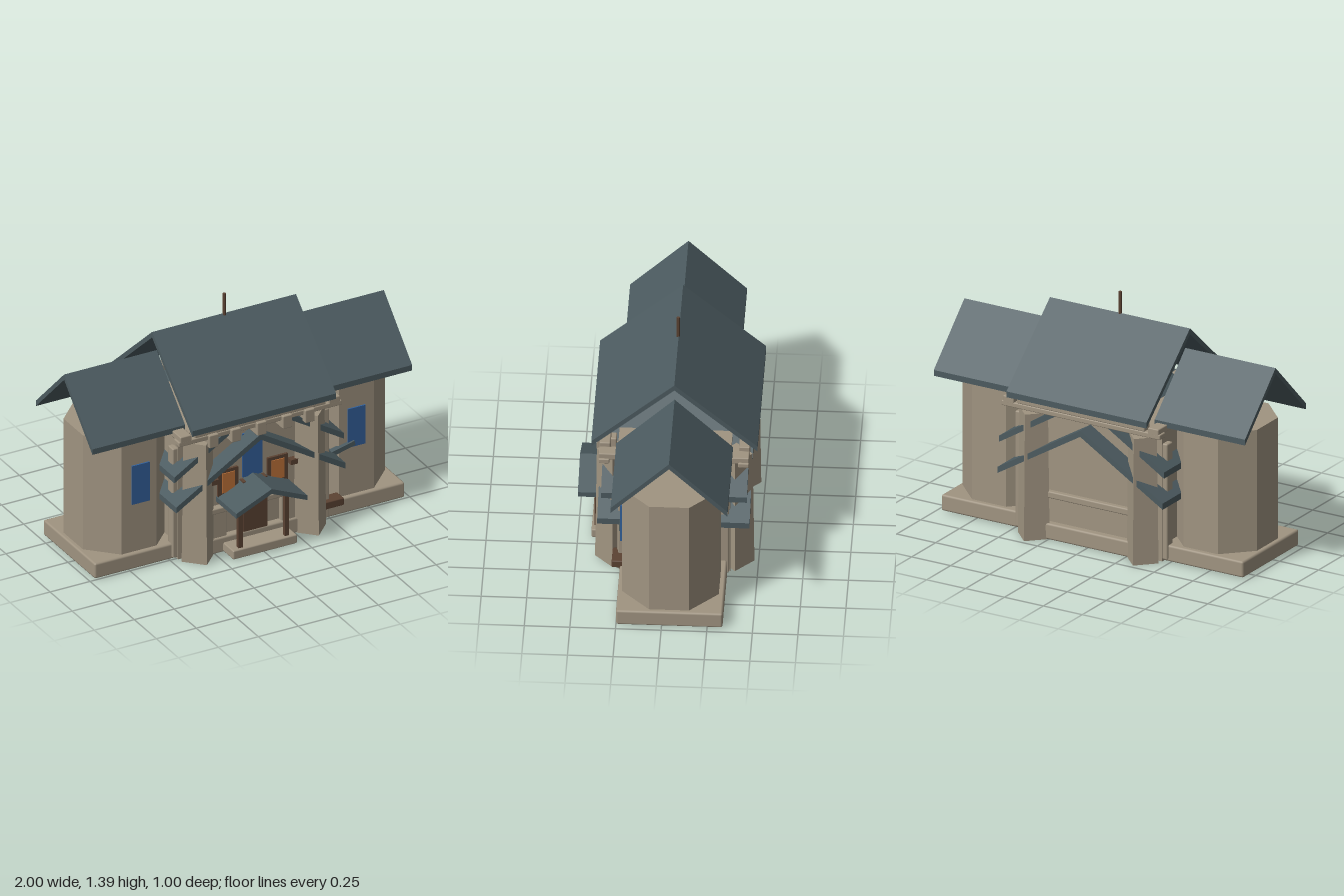
import * as THREE from 'three';
import { RoundedBoxGeometry } from 'three/addons/geometries/RoundedBoxGeometry.js';

const mat = (name, color) => {
  const m = new THREE.MeshStandardMaterial({ color });
  m.name = name;
  return m;
};

export function createModel() {
  const stone = mat('stone', 0xa09481);
  const slate = mat('slate', 0x4c5b60);
  const wood = mat('wood', 0x5c4333);
  const blue = mat('blueGlass', 0x33619c);
  const amber = mat('amberGlass', 0xc0743a);
  const CZ = -0.04; // the building's centre line in z
  const model = new THREE.Group();
  model.name = 'hall';

  const add = (name, geo, material) => {
    const mesh = new THREE.Mesh(geo, material);
    mesh.name = name;
    model.add(mesh);
    return mesh;
  };
  // box given by its limits, with optional softened edges
  const box = (name, material, x0, x1, y0, y1, z0, z1, r = 0) => {
    const w = Math.abs(x1 - x0), h = y1 - y0, d = Math.abs(z1 - z0);
    const geo = r ? new RoundedBoxGeometry(w, h, d, 1, r) : new THREE.BoxGeometry(w, h, d);
    const mesh = add(name, geo, material);
    mesh.position.set((x0 + x1) / 2, (y0 + y1) / 2, (z0 + z1) / 2);
    return mesh;
  };
  // open gable roof: a chevron extruded along z
  const gable = (name, half, ridge, eave, t, length) => {
    const s = new THREE.Shape();
    s.moveTo(-half, eave - t);
    s.lineTo(0, ridge - t);
    s.lineTo(half, eave - t);
    s.lineTo(half, eave);
    s.lineTo(0, ridge);
    s.lineTo(-half, eave);
    const geo = new THREE.ExtrudeGeometry(s, { depth: length, bevelEnabled: false });
    return add(name, geo.translate(0, 0, -length / 2), slate);
  };
  // n-sided upright prism with flat sides
  const prism = (name, material, rTop, rBottom, y0, y1, sides, turn, x, z) => {
    const geo = new THREE.CylinderGeometry(rTop, rBottom, y1 - y0, sides).toNonIndexed();
    geo.rotateY(turn);
    geo.computeVertexNormals();
    const mesh = add(name, geo, material);
    mesh.position.set(x, (y0 + y1) / 2, z);
    return mesh;
  };

  // main and wing roofs, ridges along x
  const mainRoof = gable('mainRoof', 0.455, 1.275, 0.872, 0.034, 0.9);
  mainRoof.rotation.y = Math.PI / 2;
  mainRoof.position.z = CZ - 0.003;
  prism('mast', wood, 0.01, 0.01, 1.24, 1.4, 6, 0, 0, CZ);

  // central hall with its plinth
  box('hallBody', stone, -0.46, 0.46, 0.01, 0.78, 0.27, -0.35);
  box('hallPlinth', stone, -0.42, 0.42, 0.005, 0.1, 0.31, -0.39, 0.012);

  // lower cross roofs, ridges along z
  gable('lowerCrossRoof', 0.53, 0.72, 0.4, 0.036, 0.835).position.z = CZ - 0.002;
  gable('upperCrossRoof', 0.53, 0.903, 0.578, 0.036, 0.8).position.z = CZ - 0.005;

  for (const s of [-1, 1]) {
    // wings
    prism('wingTower', stone, 0.287, 0.287, 0.09, 0.815, 8, Math.PI / 8, s * 0.68, CZ);
    box('wingPlinth', stone, s * 0.39, s * 0.97, 0.01, 0.105, 0.25, -0.335, 0.012);
    const roof = gable('wingRoof', 0.32, 1.155, 0.84, 0.034, 0.58);
    roof.rotation.y = Math.PI / 2;
    roof.position.set(s * 0.71, 0, CZ - 0.003);
    box('wingWindow', blue, s * 0.62, s * 0.73, 0.405, 0.645, 0.23, 0.239);

    // corner pillars, set diagonally
    for (const z of [0.295, -0.375]) {
      prism('cornerPillar', stone, 0.092, 0.102, 0.005, 0.745, 4, 0, s * 0.35, z);
    }
    // stub columns beside the wings
    for (const z of [0.235, -0.315]) {
      box('sideColumn', stone, s * 0.43, s * 0.49, 0.02, 0.7, z - 0.03, z + 0.03, 0.008);
    }
    // crown beams along the sides
    box('sideCrownBeam', stone, s * 0.43, s * 0.5, 0.785, 0.825, 0.37, -0.455, 0.006);

    // small front windows
    const cx = s * 0.155;
    box('windowFrame', wood, cx - 0.063, cx + 0.063, 0.3, 0.5, 0.27, 0.285);
    box('windowPane', amber, cx - 0.04, cx + 0.04, 0.36, 0.48, 0.285, 0.29);
    box('windowPane', amber, cx - 0.025, cx + 0.025, 0.33, 0.36, 0.285, 0.29);
    box('windowPeg', wood, s * 0.225, s * 0.29, 0.435, 0.465, 0.27, 0.31);

    // porch parapets and posts
    box('porchParapet', stone, s * 0.17, s * 0.275, 0.09, 0.26, 0.26, 0.3, 0.008);
    box('porchPost', wood, s * 0.145 - 0.013, s * 0.145 + 0.013, 0.06, 0.36, 0.383, 0.409);
  }

  // crown beams and joist ends front and back
  for (const [z, out] of [[0.34, 1], [-0.425, -1]]) {
    box('crownBeam', stone, -0.51, 0.51, 0.765, 0.795, z - 0.03, z + 0.03, 0.006);
    box('upperCrownBeam', stone, -0.41, 0.41, 0.795, 0.832, z - 0.03, z + 0.03, 0.006);
    for (const x of [-0.3, -0.16, 0, 0.16, 0.3]) {
      if (out > 0) box('joistEnd', stone, x - 0.03, x + 0.03, 0.72, 0.8, z - 0.06, z + 0.05, 0.006);
    }
  }
  box('chimney', stone, 0.38, 0.46, 0.82, 0.88, -0.18, -0.09);
  box('chimneyCap', stone, 0.37, 0.47, 0.877, 0.905, -0.193, -0.08, 0.005);

  // wall bands
  box('frontBand', stone, -0.28, 0.28, 0.25, 0.285, 0.26, 0.31, 0.008);
  box('backBand', stone, -0.29, 0.29, 0.245, 0.285, -0.34, -0.38, 0.008);

  // entrance
  box('door', wood, -0.075, 0.075, 0.1, 0.41, 0.27, 0.314);
  box('centralWindow', blue, -0.062, 0.062, 0.42, 0.69, 0.272, 0.281);
  box('porchStep', stone, -0.2, 0.2, 0.01, 0.065, 0.28, 0.425, 0.008);
  gable('porchRoof', 0.222, 0.435, 0.338, 0.03, 0.23).position.z = 0.383;

  // loose bench and leaning slate by one wing
  box('bench', wood, 0.44, 0.565, 0.09, 0.135, 0.215, 0.295, 0.006);
  const leaningSlate = box('leaningSlate', slate, 0.51, 0.66, 0.4, 0.428, 0.215, 0.25);
  leaningSlate.rotation.z = 0.24;

  return model;
}
